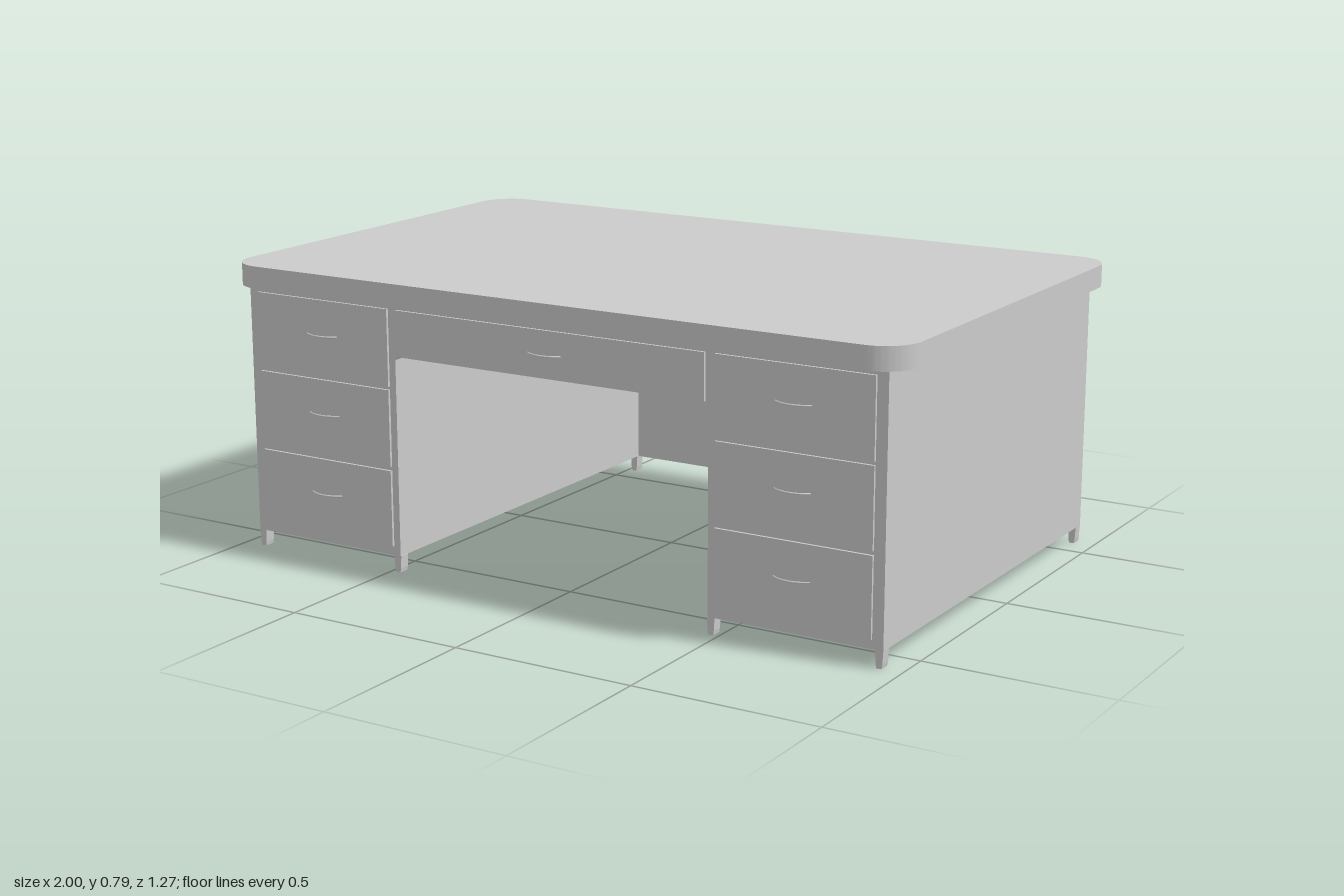
import * as THREE from 'three';
import { toCreasedNormals } from 'three/addons/utils/BufferGeometryUtils.js';

const grey = new THREE.MeshStandardMaterial({ color: 0xcccccc });

export function createModel() {
  const desk = new THREE.Group();
  desk.name = 'desk';

  const add = (name, geometry, x = 0, y = 0, z = 0) => {
    const mesh = new THREE.Mesh(geometry, grey);
    mesh.name = name;
    mesh.position.set(x, y, z);
    desk.add(mesh);
    return mesh;
  };
  // Box given by its limits on each axis
  const box = (name, x0, x1, y0, y1, z0, z1) =>
    add(name, new THREE.BoxGeometry(x1 - x0, y1 - y0, z1 - z0), (x0 + x1) / 2, (y0 + y1) / 2, (z0 + z1) / 2);

  // Table top with rounded corners
  const w = 1, d = 0.635, r = 0.1;
  const outline = new THREE.Shape();
  outline.absarc(w - r, d - r, r, 0, Math.PI / 2);
  outline.absarc(-w + r, d - r, r, Math.PI / 2, Math.PI);
  outline.absarc(-w + r, -d + r, r, Math.PI, Math.PI * 1.5);
  outline.absarc(w - r, -d + r, r, Math.PI * 1.5, Math.PI * 2);
  const topGeometry = new THREE.ExtrudeGeometry(outline, { depth: 0.06, bevelEnabled: false, curveSegments: 12 });
  topGeometry.rotateX(-Math.PI / 2);
  add('tableTop', toCreasedNormals(topGeometry, 0.6), 0, 0.725, 0);

  // Body: two pedestals joined above the knee space
  const k = 0.47, ceiling = 0.585, base = 0.045;
  const body = new THREE.Shape([
    [-0.95, base], [-k, base], [-k, ceiling - 0.008], [-k + 0.008, ceiling],
    [k - 0.008, ceiling], [k, ceiling - 0.008], [k, base], [0.95, base], [0.95, 0.725], [-0.95, 0.725],
  ].map(([x, y]) => new THREE.Vector2(x, y)));
  add('body', new THREE.ExtrudeGeometry(body, { depth: 1.18, bevelEnabled: false }), 0, 0, -0.58);
  box('backPanel', -0.95, 0.95, base, 0.725, -0.6, -0.58);

  // Bowed drawer pull
  const bow = new THREE.CatmullRomCurve3([
    [-0.05, 0.606], [-0.036, 0.615], [-0.018, 0.621], [0, 0.623], [0.018, 0.621], [0.036, 0.615], [0.05, 0.606],
  ].map(([x, z]) => new THREE.Vector3(x, 0, z)));
  const pull = new THREE.TubeGeometry(bow, 20, 0.0025, 6);

  // Drawers
  const front = 0.607;
  for (const side of [-1, 1]) {
    const x = side * 0.705;
    for (const [y0, y1, handleY] of [[0.07, 0.277, 0.183], [0.288, 0.495, 0.402], [0.504, 0.71, 0.616]]) {
      box('drawerFront', x - 0.215, x + 0.215, y0, y1, 0.59, front);
      add('drawerHandle', pull, x, handleY, 0);
    }
  }
  box('centreDrawerFront', -0.462, 0.462, 0.588, 0.71, 0.59, front);
  add('centreDrawerHandle', pull, 0, 0.648, 0);

  // Feet: flat on the outer faces, narrowing towards the floor
  const footShape = new THREE.Shape([
    [-0.011, 0.046], [-0.009, 0.012], [-0.007, 0], [0.007, 0], [0.009, 0.012], [0.011, 0.046],
  ].map(([x, y]) => new THREE.Vector2(x, y)));
  const foot = new THREE.ExtrudeGeometry(footShape, { depth: 0.03, bevelEnabled: false });
  for (const x of [-0.939, -0.479, 0.479, 0.939])
    for (const z of [-0.6, 0.57]) add('foot', foot, x, 0, z);

  return desk;
}
